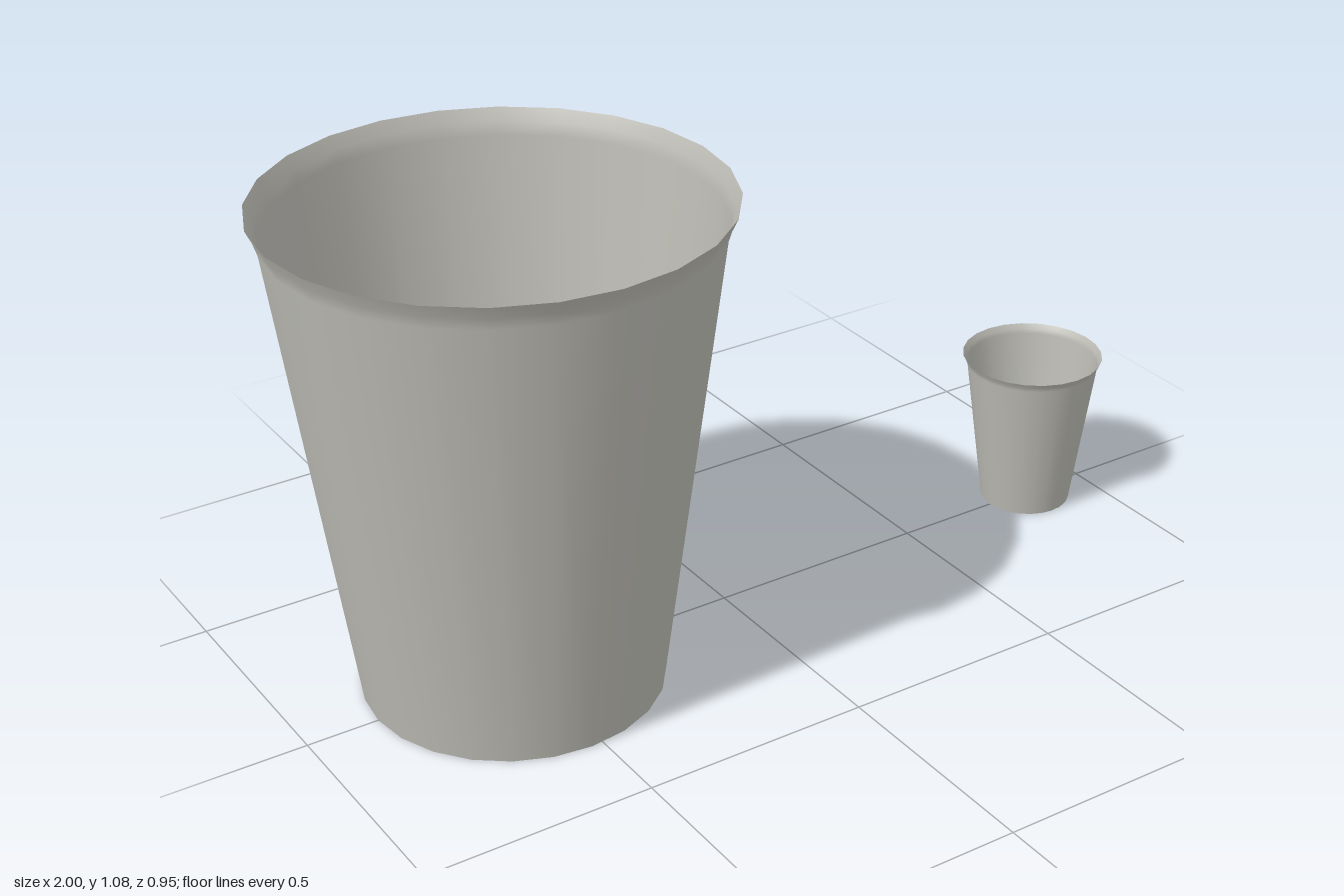
import * as THREE from 'three';

const SIDES = 24;

// One open, thin-walled cup: tapered wall with flared lip, and a base with a pinhole
function makeCup(name, x, { base, lip, rim, lipY, height, hole }, material) {
  const cup = new THREE.Group();
  cup.name = name;
  cup.position.x = x;

  const profile = [
    [base, 0],
    [lip, lipY],
    [lip + (rim - lip) * 0.4, lipY + (height - lipY) * 0.5],
    [rim, height],
  ].map(([r, y]) => new THREE.Vector2(r, y));
  const wall = new THREE.Mesh(new THREE.LatheGeometry(profile, SIDES), material);
  wall.name = 'wall';

  const floorGeometry = new THREE.RingGeometry(hole, base, SIDES).rotateX(-Math.PI / 2);
  const floor = new THREE.Mesh(floorGeometry, material);
  floor.name = 'floor';

  cup.add(wall, floor);
  return cup;
}

export function createModel() {
  const grey = new THREE.MeshStandardMaterial({ color: 0xbcbbb4, side: THREE.DoubleSide });
  grey.name = 'warm grey';

  const model = new THREE.Group();
  model.name = 'cups';
  model.add(
    makeCup('largeCup', -0.525,
      { base: 0.317, lip: 0.454, rim: 0.475, lipY: 1.023, height: 1.077, hole: 0.012 }, grey),
    makeCup('smallCup', 0.842,
      { base: 0.102, lip: 0.148, rim: 0.158, lipY: 0.342, height: 0.363, hole: 0.012 }, grey),
  );
  return model;
}
